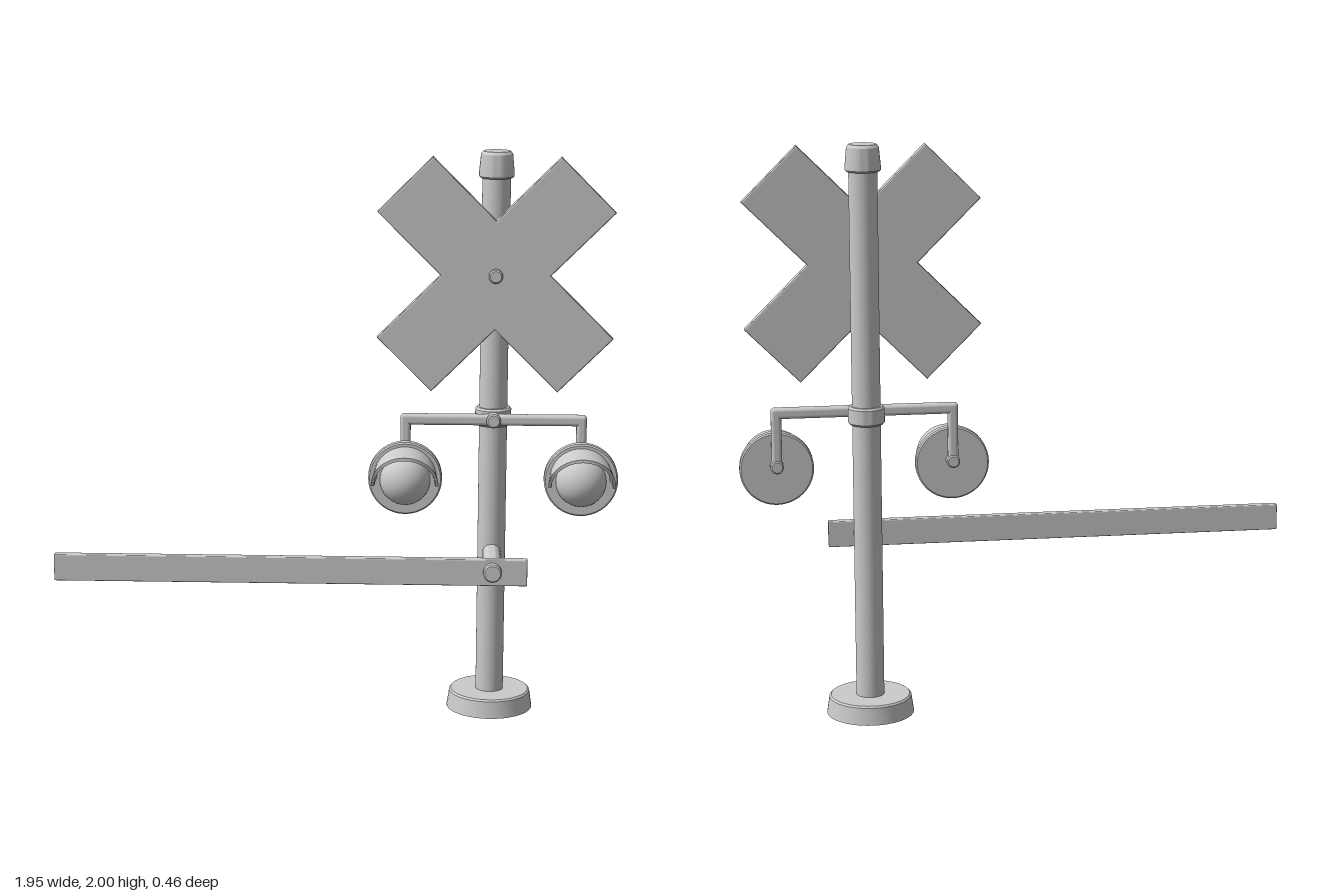
import * as THREE from 'three';
import { toCreasedNormals } from 'three/addons/utils/BufferGeometryUtils.js';
import { RoundedBoxGeometry } from 'three/addons/geometries/RoundedBoxGeometry.js';

const POLE_X = 0.54, POLE_Z = -0.08;
const grey = new THREE.MeshStandardMaterial({ color: 0xcccccc, side: THREE.DoubleSide });

function add(parent, name, geometry, x = 0, y = 0, z = 0) {
  const mesh = new THREE.Mesh(geometry, grey);
  mesh.name = name;
  mesh.position.set(x, y, z);
  parent.add(mesh);
  return mesh;
}

// Turned part from [radius, height] pairs
function turned(points) {
  const lathe = new THREE.LatheGeometry(points.map(p => new THREE.Vector2(...p)), 40);
  return toCreasedNormals(lathe, 0.5);
}

// Cylinder lying along z, from z0 to z1, with softened rims
function rod(radius, z0, z1) {
  const b = Math.min(0.005, radius * 0.2);
  return turned([[0, z0], [radius - b, z0], [radius, z0 + b], [radius, z1 - b], [radius - b, z1], [0, z1]])
    .rotateX(Math.PI / 2);
}

// X-shaped board with two crossing arms
function crossGeometry(length, width, depth) {
  const l = length / 2, w = width / 2, bevel = 0.005;
  const shape = new THREE.Shape();
  for (let i = 0; i < 4; i++) {
    const a = Math.PI / 4 + i * Math.PI / 2, c = Math.cos(a), s = Math.sin(a);
    [[w, -w], [l, -w], [l, w]].forEach(([u, v], k) => {
      const x = u * c - v * s, y = u * s + v * c;
      if (i === 0 && k === 0) shape.moveTo(x, y);
      else shape.lineTo(x, y);
    });
  }
  shape.closePath();
  return new THREE.ExtrudeGeometry(shape, {
    depth: depth - 2 * bevel, bevelEnabled: true, bevelThickness: bevel,
    bevelSize: bevel, bevelOffset: -bevel, bevelSegments: 2,
  }).translate(0, 0, bevel - depth / 2);
}

// Drooping, flared half-hood with a slanted front edge
function visorGeometry() {
  const n = 32, t = 0.011, pos = [], index = [];
  for (let i = 0; i <= n; i++) {
    const a = Math.PI * i / n;
    const front = 0.075 + 0.05 * Math.sin(a);
    // Section corners: outer back, outer front, inner front, inner back
    for (const [z, inset] of [[0, 0], [front, 0], [front, t], [0, t]]) {
      const r = 0.109 + 0.1 * z - inset;
      pos.push(r * Math.cos(a), 0.005 - 0.18 * z + r * Math.sin(a), z);
    }
    if (i === n) continue;
    for (let k = 0; k < 4; k++) {
      const p = i * 4 + k, q = i * 4 + (k + 1) % 4;
      index.push(p, q, p + 4, q, q + 4, p + 4);
    }
  }
  const e = n * 4;
  index.push(0, 2, 1, 0, 3, 2, e, e + 1, e + 2, e, e + 2, e + 3);
  const g = new THREE.BufferGeometry();
  g.setAttribute('position', new THREE.Float32BufferAttribute(pos, 3));
  g.setIndex(index);
  return toCreasedNormals(g, 0.6);
}

function createLamp() {
  const lamp = new THREE.Group();
  lamp.name = 'signalLamp';
  add(lamp, 'lampBackplate', rod(0.129, 0, 0.038));
  const dome = new THREE.SphereGeometry(0.088, 32, 12, 0, Math.PI * 2, 0, Math.PI / 2);
  dome.rotateX(Math.PI / 2).scale(1, 1, 0.9);
  add(lamp, 'lampLens', dome, 0, -0.005, 0.036);
  add(lamp, 'lampVisor', visorGeometry(), 0, 0, 0.036);
  add(lamp, 'lampMount', rod(0.023, -0.037, 0.005), 0, 0.013, 0);
  return lamp;
}

export function createModel() {
  const model = new THREE.Group();
  model.name = 'railroadCrossingSignal';

  // Post with hollow foot, cap and clamp
  const post = new THREE.Group();
  post.name = 'post';
  post.position.set(POLE_X, 0, POLE_Z);
  model.add(post);
  add(post, 'pole', new THREE.CylinderGeometry(0.049, 0.049, 1.9, 40), 0, 0.99, 0);
  add(post, 'foot', turned([[0, 0.05], [0.133, 0.05], [0.145, 0], [0.153, 0], [0.144, 0.06], [0.138, 0.066], [0, 0.066]]));
  add(post, 'poleCap', turned([[0, 1.908], [0.055, 1.908], [0.061, 1.914], [0.061, 1.925], [0.055, 1.99], [0.047, 2], [0, 2]]));
  add(post, 'clamp', turned([[0.045, 1.04], [0.057, 1.04], [0.063, 1.047], [0.063, 1.097], [0.057, 1.104], [0.045, 1.104]]));

  // Crossed boards and their bolt
  add(model, 'crossedBoards', crossGeometry(0.884, 0.267, 0.038), POLE_X, 1.583, 0.002);
  add(model, 'boardBolt', rod(0.024, -0.04, 0.044), POLE_X, 1.583, 0);

  // Lamp bracket
  add(model, 'bracketBar', new RoundedBoxGeometry(0.648, 0.038, 0.036, 3, 0.012), POLE_X, 1.071, -0.012);
  add(model, 'bracketBolt', rod(0.025, -0.04, 0.02), POLE_X, 1.071, 0);
  for (const side of [-1, 1]) {
    add(model, 'bracketDrop', new RoundedBoxGeometry(0.036, 0.22, 0.036, 3, 0.012), POLE_X + side * 0.306, 0.978, -0.012);
    const lamp = createLamp();
    lamp.position.set(POLE_X + side * 0.306, 0.869, 0.003);
    model.add(lamp);
  }

  // Barrier arm on its pivot
  add(model, 'barrierArm', new RoundedBoxGeometry(1.64, 0.094, 0.03, 2, 0.004), -0.16, 0.578, 0.188);
  add(model, 'barrierPivot', rod(0.032, -0.06, 0.23), POLE_X, 0.582, 0);
  return model;
}
